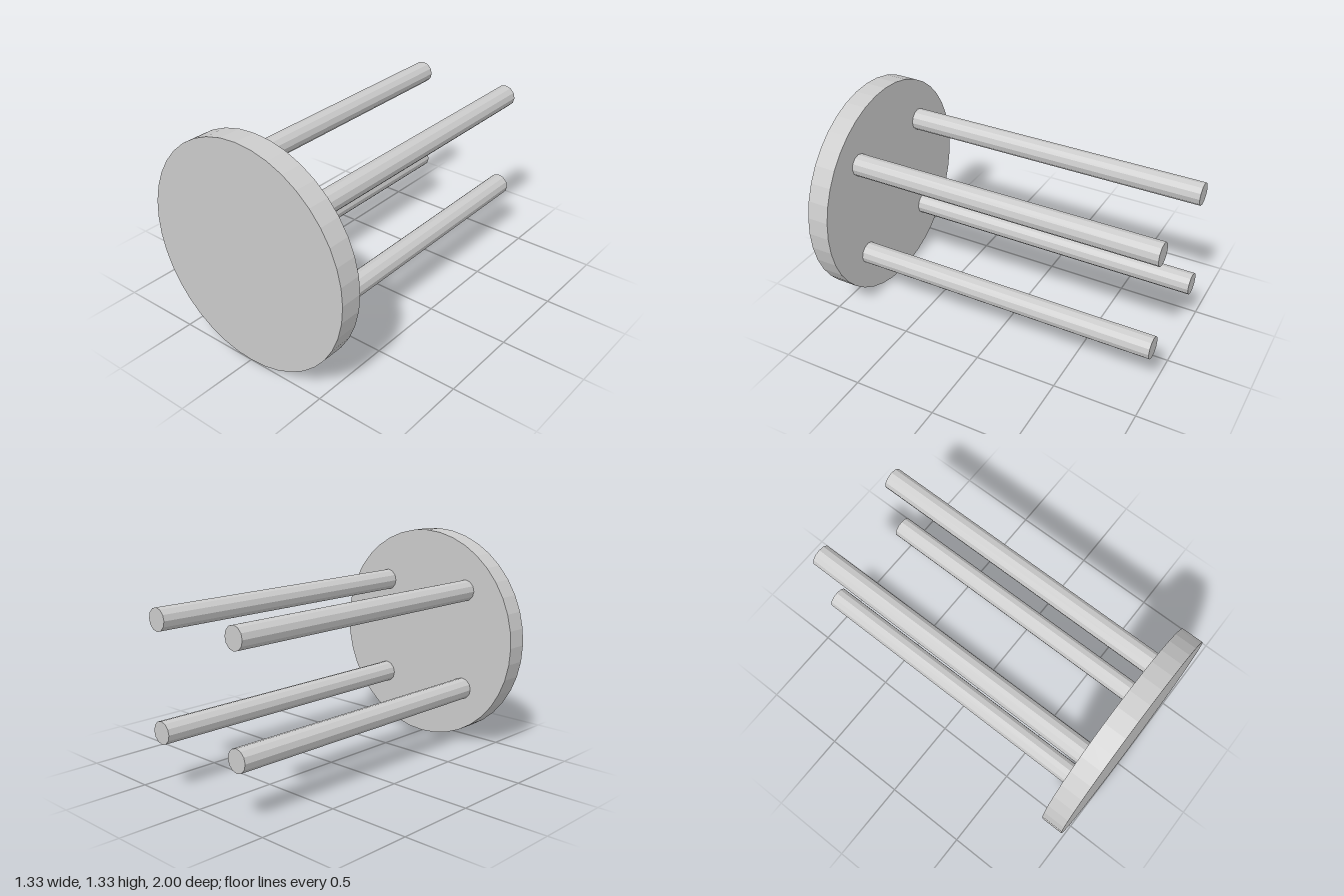
import * as THREE from 'three';

export function createModel() {
  const group = new THREE.Group();
  const material = new THREE.MeshStandardMaterial({ color: 0xcccccc, flatShading: true });
  const centreY = 0.667;

  // Cylinder lying along z between two depths
  function rod(name, radius, sides, x, y, zBack, zFront) {
    const geometry = new THREE.CylinderGeometry(radius, radius, zFront - zBack, sides);
    geometry.rotateX(Math.PI / 2);
    const mesh = new THREE.Mesh(geometry, material);
    mesh.name = name;
    mesh.position.set(x, y, (zBack + zFront) / 2);
    group.add(mesh);
  }

  // Round seat, standing upright at the front
  rod('seat', 0.667, 40, 0, centreY, 0.867, 1);

  // Four legs reaching back from the seat
  const offset = 0.315;
  for (const [side, sx] of [['left', 1], ['right', -1]]) {
    for (const [level, sy] of [['Upper', 1], ['Lower', -1]]) {
      rod(`${side}${level}Leg`, 0.0667, 12, sx * offset, centreY + sy * offset, -1, 0.867);
    }
  }

  return group;
}
